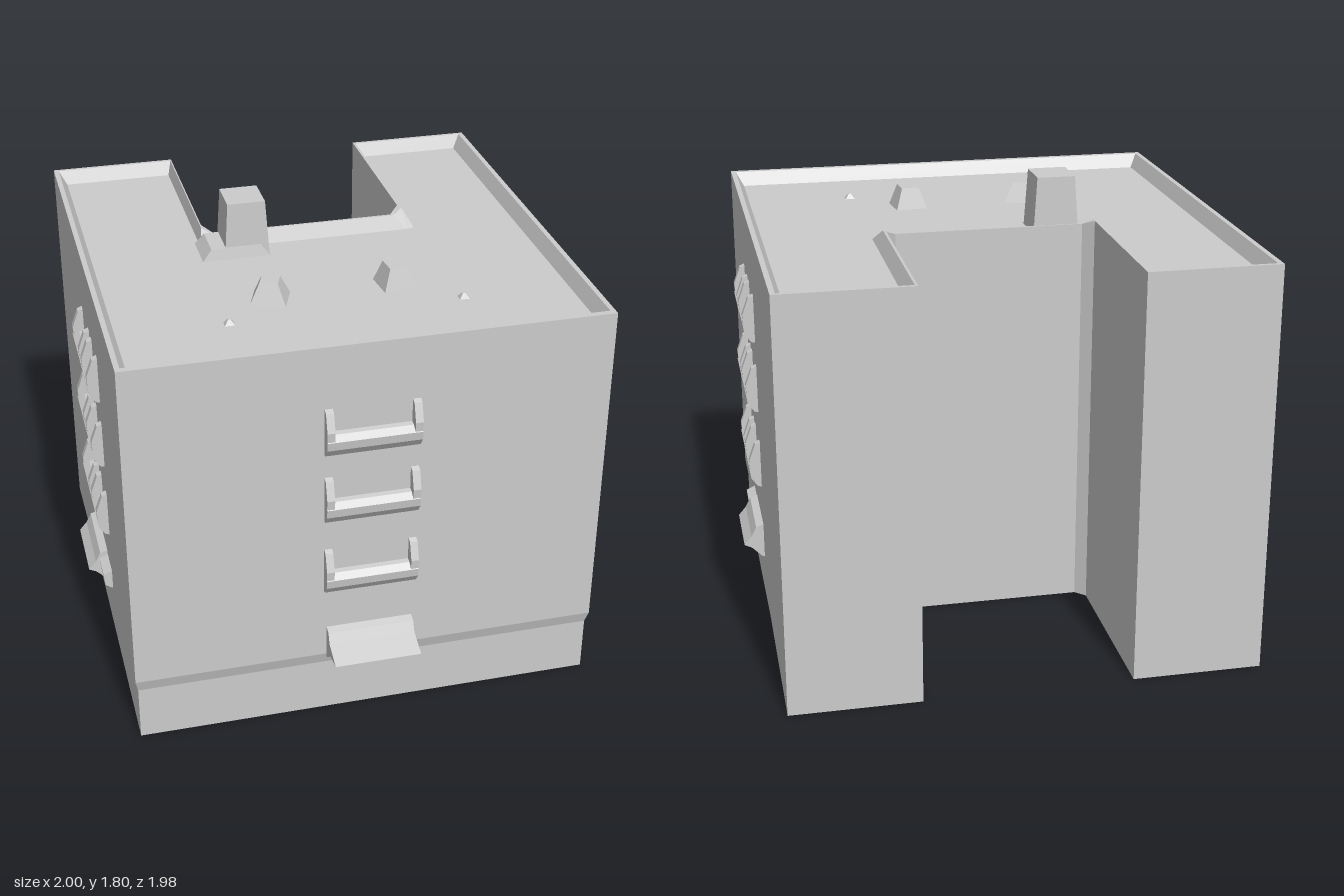
import * as THREE from 'three';

const mat = new THREE.MeshStandardMaterial({ color: 0xcccccc, flatShading: true, side: THREE.DoubleSide });

function add(parent, name, geo, x = 0, y = 0, z = 0) {
  const m = new THREE.Mesh(geo, mat);
  m.name = name;
  m.position.set(x, y, z);
  parent.add(m);
  return m;
}

// U-shaped ring: half plan (x, z, optional drop) mirrored to the other side
function ring(y, half, leftInner) {
  const right = half.map(([x, z, d = 0]) => [x, y - d, z]);
  const left = half.map(([x, z, d = 0], i) =>
    [-(leftInner && (i === 3 || i === 4) ? leftInner : x), y - d, z]).reverse();
  return [...right, ...left];
}

// Skin between rings, closed at both ends
function loft(rings) {
  const n = rings[0].length, idx = [];
  for (let r = 0; r < rings.length - 1; r++) {
    for (let i = 0; i < n; i++) {
      const j = (i + 1) % n, a = r * n + i, b = r * n + j;
      idx.push(a, b, b + n, a, b + n, a + n);
    }
  }
  const cap = (r, flip) => {
    const pts = rings[r].map(p => new THREE.Vector2(p[0], -p[2]));
    for (const [a, b, c] of THREE.ShapeUtils.triangulateShape(pts, [])) {
      idx.push(r * n + a, r * n + (flip ? c : b), r * n + (flip ? b : c));
    }
  };
  cap(0, true);
  cap(rings.length - 1, false);
  const g = new THREE.BufferGeometry();
  g.setAttribute('position', new THREE.Float32BufferAttribute(rings.flat(2), 3));
  g.setIndex(idx);
  const flat = g.toNonIndexed();
  flat.computeVertexNormals();
  return flat;
}

// Box tapering to a smaller top, standing on y = 0
function frustum(w, d, h, topW, topD) {
  const g = new THREE.BoxGeometry(w, h, d).translate(0, h / 2, 0);
  const p = g.attributes.position;
  for (let i = 0; i < p.count; i++) {
    if (p.getY(i) > h / 2) {
      p.setX(i, p.getX(i) * topW / w);
      p.setZ(i, p.getZ(i) * topD / d);
    }
  }
  g.computeVertexNormals();
  return g;
}

// Profile (outward, up) extruded along the wall, facing +z
function wallProfile(points, width) {
  const shape = new THREE.Shape(points.map(p => new THREE.Vector2(...p)));
  return new THREE.ExtrudeGeometry(shape, { depth: width, bevelEnabled: false })
    .translate(0, 0, -width / 2).rotateY(-Math.PI / 2);
}

// Balcony with sloped underside, low front and raised ends
function balcony(parent, u, y, width, wall) {
  add(parent, 'balcony', wallProfile(
    [[-0.03, -0.01], [0.015, 0], [0.04, 0.035], [0.045, 0.07], [0.02, 0.09], [-0.03, 0.1]], width), u, y, wall);
  for (const s of [-1, 1]) {
    add(parent, 'balconyEnd', wallProfile(
      [[-0.03, 0], [0.04, 0.04], [0.045, 0.11], [0.02, 0.18], [-0.03, 0.2]], 0.03),
    u + s * (width / 2 - 0.015), y, wall);
  }
}

// Lowest canopy, drawn out to a thin lip
function canopy(parent, u, width, wall, reach) {
  add(parent, 'canopy', wallProfile(
    [[-0.03, 0.26], [0.01, 0.27], [0.05, 0.31], [reach, 0.325], [0.05, 0.36], [0.03, 0.4], [-0.03, 0.42]], width), u, 0, wall);
}

export function createModel() {
  const model = new THREE.Group();
  model.name = 'building';

  // Body with slightly recessed base, parapet rim and sunken roof
  const base = [[0.91, 0.83], [0.91, -0.2], [0.92, -0.99], [0.41, -0.99], [0.41, -0.28], [0.37, -0.24]];
  const wall = [[0.92, 0.845], [0.92, -0.2], [0.92, -0.99], [0.41, -0.99], [0.41, -0.28], [0.37, -0.24, 0]];
  const top = wall.map(([x, z], i) => [x, z, i === 5 ? 0.02 : 0]);
  const rim = [[0.9, 0.82], [0.9, -0.2], [0.9, -0.975], [0.42, -0.975], [0.42, -0.25], [0.38, -0.23, 0.02]];
  const roof = [[0.87, 0.79], [0.87, -0.2], [0.87, -0.95], [0.45, -0.95], [0.45, -0.17], [0.42, -0.16]];
  add(model, 'body', loft([
    ring(0.005, base), ring(0.23, base), ring(0.28, wall),
    ring(1.635, top), ring(1.635, rim, 0.415), ring(1.58, roof, 0.43),
  ]));

  // Chimney and its flared footing
  add(model, 'chimneyFooting', frustum(0.28, 0.18, 0.05, 0.2, 0.16), -0.31, 1.575, -0.14);
  add(model, 'chimney', frustum(0.18, 0.17, 0.23, 0.15, 0.16), -0.265, 1.575, -0.15);

  // Roof vents
  add(model, 'roofVent', frustum(0.14, 0.13, 0.085, 0.07, 0.07), -0.26, 1.575, 0.32).rotation.y = -0.35;
  add(model, 'roofVent', frustum(0.13, 0.13, 0.09, 0.07, 0.08), 0.23, 1.575, 0.31).rotation.y = 0.1;
  for (const s of [-1, 1]) add(model, 'smallVent', frustum(0.045, 0.04, 0.025, 0.01, 0.01), s * 0.45, 1.575, 0.485);

  const floors = [0.585, 0.905, 1.195];

  // Front balconies
  const front = new THREE.Group();
  front.name = 'frontBalconies';
  for (const y of floors) balcony(front, 0, y, 0.36, 0.845);
  canopy(front, 0, 0.34, 0.845, 0.145);
  model.add(front);

  // Paired balconies on both sides
  for (const s of [-1, 1]) {
    const side = new THREE.Group();
    side.name = s > 0 ? 'leftBalconies' : 'rightBalconies';
    side.rotation.y = s * Math.PI / 2;
    for (const y of floors) {
      balcony(side, -s * 0.18, y, 0.18, 0.92);
      balcony(side, s * 0.07, y, 0.22, 0.92);
    }
    canopy(side, s * 0.02, 0.3, 0.92, 0.08);
    add(side, 'canopyEnd', wallProfile([[-0.03, 0.29], [0.03, 0.33], [0.035, 0.38], [-0.03, 0.41]], 0.12), -s * 0.2, 0, 0.92);
    model.add(side);
  }
  return model;
}
